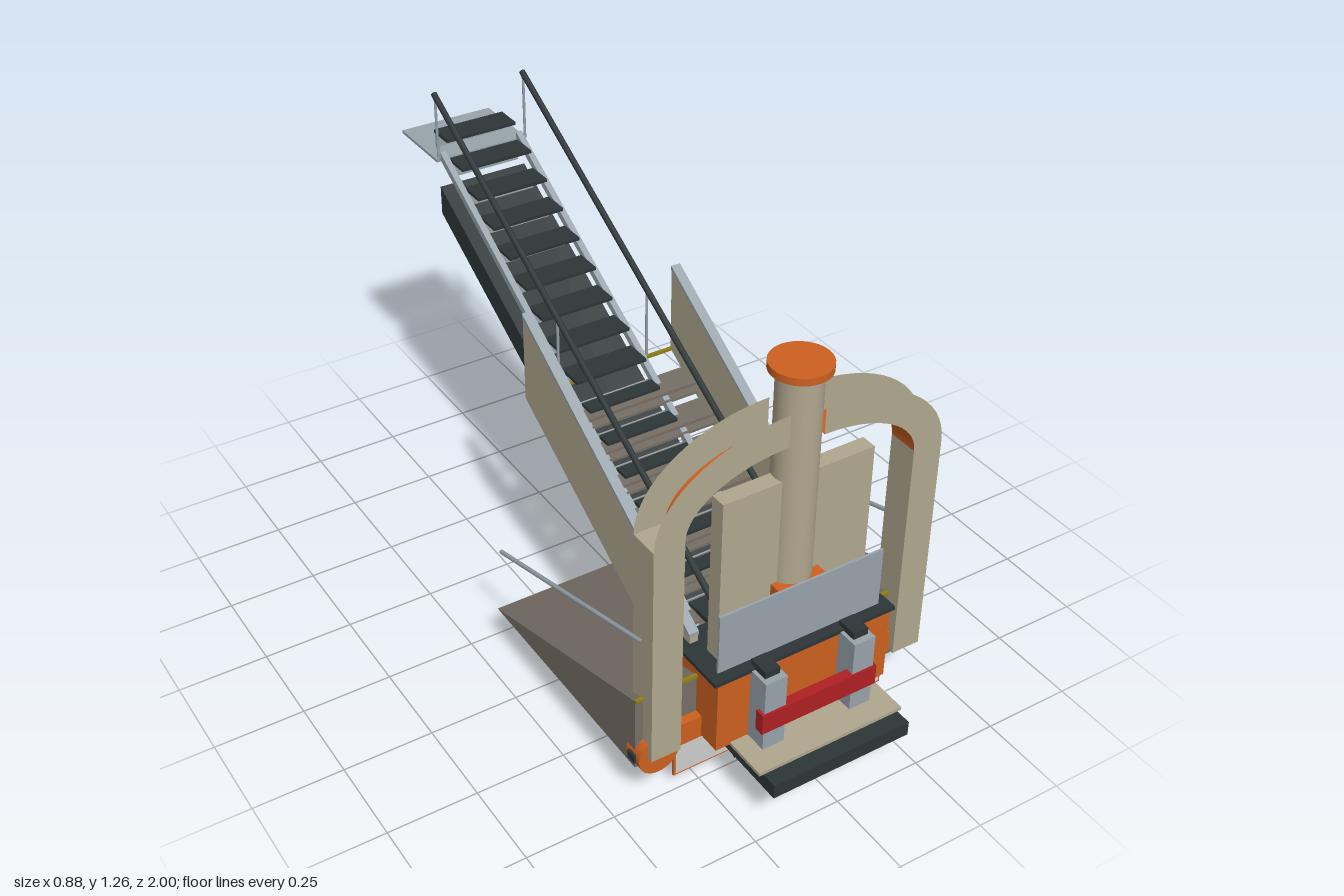
import * as THREE from 'three';

const mat = (name, color, side = THREE.FrontSide) => {
  const m = new THREE.MeshStandardMaterial({ color, side });
  m.name = name;
  return m;
};

export function createModel() {
  const D = THREE.DoubleSide;
  const tan = mat('tan', 0xb0a78f, D), taupe = mat('taupe', 0x766f65), orange = mat('orange', 0xcd6020, D);
  const dark = mat('charcoal', 0x2e3637), grey = mat('blue grey', 0x98a3ab), red = mat('red', 0xb02022);
  const green = mat('green', 0x0f8048), white = mat('off white', 0xcdcdcd), olive = mat('olive', 0x8f7f14);

  const model = new THREE.Group();
  const root = new THREE.Group();
  root.name = 'stairMachine';
  root.position.x = 0.003;
  model.add(root);

  const add = (name, geo, material) => {
    const m = new THREE.Mesh(geo, material);
    m.name = name;
    root.add(m);
    return m;
  };
  // box from its limits on each axis
  const box = (name, material, x0, x1, y0, y1, z0, z1) => {
    const g = new THREE.BoxGeometry(x1 - x0, y1 - y0, z1 - z0);
    g.translate((x0 + x1) / 2, (y0 + y1) / 2, (z0 + z1) / 2);
    return add(name, g, material);
  };
  // side outline of [z, y] points, extruded across x
  const prism = (name, material, pts, x0, x1) => {
    const shape = new THREE.Shape(pts.map(p => new THREE.Vector2(...p)));
    const g = new THREE.ExtrudeGeometry(shape, { depth: x1 - x0, bevelEnabled: false });
    g.rotateY(-Math.PI / 2).translate(x1, 0, 0);
    return add(name, g, material);
  };
  const rod = (name, material, a, b, r) => {
    const path = new THREE.LineCurve3(new THREE.Vector3(...a), new THREE.Vector3(...b));
    return add(name, new THREE.TubeGeometry(path, 1, r, 8), material);
  };
  const disc = (name, material, x, y, z, r, depth) => {
    const g = new THREE.CylinderGeometry(r, r, depth, 32);
    g.rotateX(Math.PI / 2).translate(x, y, z);
    return add(name, g, material);
  };
  const column = (name, material, r, y0, y1) => {
    const g = new THREE.CylinderGeometry(r, r, y1 - y0, 32);
    g.translate(0, (y0 + y1) / 2, 0.74);
    return add(name, g, material);
  };

  // ---- central column and cap
  column('column', tan, 0.058, 0.5, 1.155);
  column('columnCap', orange, 0.078, 1.155, 1.175);
  box('columnBracket', orange, -0.07, 0.07, 0.395, 0.57, 0.677, 0.797);

  // ---- arch: straight legs, open curved arms with an orange lining
  const z0 = 0.695, z1 = 0.78, steps = 16;
  const arc = (rx, ry, s) => Array.from({ length: steps + 1 }, (_, i) => {
    const a = i / steps * Math.PI / 2;
    return new THREE.Vector2(s * (0.05 + rx * Math.cos(a)), 0.82 + ry * Math.sin(a));
  });
  for (const s of [-1, 1]) {
    const [a, b] = [s * 0.33, s * 0.415].sort((p, q) => p - q);
    box('archLeg', tan, a, b, 0.17, 0.82, z0, z1);
    const inner = arc(0.28, 0.155, s), outer = arc(0.365, 0.245, s);
    const face = new THREE.Shape([...outer, ...inner.slice().reverse()]);
    for (const z of [z0, z1]) {
      add('archFace', new THREE.ShapeGeometry(face).translate(0, 0, z), tan);
    }
    const lining = new THREE.PlaneGeometry(1, 1, steps, 1);
    const pos = lining.attributes.position;
    for (let i = 0; i < pos.count; i++) {
      const p = inner[i % (steps + 1)];
      pos.setXYZ(i, p.x, p.y, i > steps ? z0 : z1);
    }
    lining.computeVertexNormals();
    add('archLining', lining, orange);
    rod('supportRod', grey, [s * 0.418, 0.53, 0.74], [s * 0.418, 0.32, 0.04], 0.006);
  }
  disc('sideWheel', orange, -0.383, 0.168, 0.735, 0.058, 0.06);
  box('wheelStub', dark, -0.446, -0.435, 0.155, 0.18, 0.72, 0.75);

  // ---- back panel with louvres, and lower front panel
  box('backPanel', tan, -0.218, 0.218, 0.395, 0.868, 0.72, 0.765);
  for (const s of [-1, 1]) {
    const x = s * 0.138;
    box('louvreBacking', dark, x - 0.07, x + 0.07, 0.43, 0.75, 0.714, 0.72);
    for (let i = 0; i < 13; i++) {
      const y = 0.44 + i * 0.024;
      box('louvreSlat', grey, x - 0.068, x + 0.068, y, y + 0.012, 0.704, 0.715);
    }
  }
  box('lowerPanel', grey, -0.243, 0.243, 0.395, 0.57, 0.797, 0.804);

  // ---- console
  box('consoleBody', orange, -0.26, 0.26, 0.17, 0.385, 0.65, 0.83);
  box('consoleShelf', dark, -0.272, 0.272, 0.385, 0.396, 0.635, 0.835);
  for (const s of [-1, 1]) {
    const x = s * 0.133;
    box('consolePost', grey, x - 0.032, x + 0.032, 0.17, 0.39, 0.83, 0.893);
    box('shelfKnob', dark, x - 0.022, x + 0.022, 0.39, 0.41, 0.815, 0.875);
    box('shelfTab', dark, x - 0.025, x + 0.025, 0.385, 0.4, 0.58, 0.64);
  }
  box('bumper', red, -0.173, 0.173, 0.235, 0.295, 0.87, 0.898);

  // ---- base and lower plate
  box('base', dark, -0.205, 0.207, 0.125, 0.167, 0.73, 1);
  box('basePlate', tan, -0.218, 0.218, 0.167, 0.177, 0.73, 0.955);
  box('lowerPlateFrame', orange, -0.326, 0.326, 0.045, 0.172, 0.738, 0.744);
  box('lowerPlate', white, -0.32, 0.32, 0.051, 0.168, 0.736, 0.746);
  box('crossBar', orange, -0.328, 0.328, 0.165, 0.233, 0.72, 0.765);
  box('greenPanelFrame', dark, -0.175, 0.175, 0.079, 0.127, 0.746, 0.762);
  box('greenPanel', green, -0.169, 0.169, 0.085, 0.127, 0.762, 0.767);
  disc('greenPanelHub', dark, 0, 0.162, 0.765, 0.06, 0.012);

  // ---- wedge ramp
  prism('wedgeRamp', taupe, [[0.74, 0.13], [0.74, 0.35], [0.04, 0.13]], -0.437, 0.437);
  box('wedgeEdge', olive, -0.437, 0.437, 0.345, 0.353, 0.735, 0.745);

  // ---- stair: underside beam, stringers, treads and risers
  const slopeY = z => 0.31 + 0.595 * (0.48 - z);
  prism('undersideBeam', dark, [[0.74, 0.003], [0.74, 0.085], [-0.78, 0.965], [-0.78, 0.88]], -0.136, 0.136);
  for (const s of [-1, 1]) {
    const x = s * 0.122;
    prism('stringer', grey, [[0.66, slopeY(0.66) - 0.012], [0.66, slopeY(0.66) + 0.012],
      [-0.78, slopeY(-0.78) + 0.012], [-0.78, slopeY(-0.78) - 0.012]], x - 0.009, x + 0.009);
  }
  for (let i = -1; i < 16; i++) {
    const z = 0.5 - i * 0.0877, y = slopeY(z) + 0.02, wide = z > -0.1;
    const d = wide ? 0.022 : 0.04;
    box('tread', dark, -0.11, 0.11, y - 0.004, y + 0.005, z - d, z + d);
    box('riser', grey, -0.107, 0.107, y - 0.055, y - 0.004, z - 0.04, z - 0.036);
    if (wide) {
      box('wideTread', taupe, -0.218, 0.218, y - 0.014, y - 0.005, z - 0.042, z + 0.042);
      box('wideTreadHalfStep', taupe, -0.218, 0.218, y - 0.04, y - 0.032, z + 0.0, z + 0.046);
    }
  }
  box('wideStairEdge', olive, -0.235, 0.235, 0.655, 0.663, -0.125, -0.115);
  box('topLanding', grey, -0.142, 0.142, 1.043, 1.051, -1, -0.78);

  // ---- side panels and handrails
  for (const s of [-1, 1]) {
    const x = s * 0.23;
    prism('sidePanel', tan, [[0.68, 0.18], [0.68, 0.415], [-0.12, 0.912], [-0.12, 0.66]], x - 0.012, x + 0.012);
    prism('sidePanelCap', grey, [[0.68, 0.415], [0.68, 0.426], [-0.12, 0.924], [-0.12, 0.912]], x - 0.014, x + 0.014);
    const r = s * 0.139;
    rod('handrail', dark, [r, 0.405, 0.7], [r, 1.253, -0.78], 0.009);
    rod('handrailPost', grey, [r, 1.05, -0.775], [r, 1.25, -0.775], 0.004);
    rod('handrailPost', grey, [r, slopeY(-0.12), -0.12], [r, 0.875, -0.12], 0.004);
  }
  return model;
}
